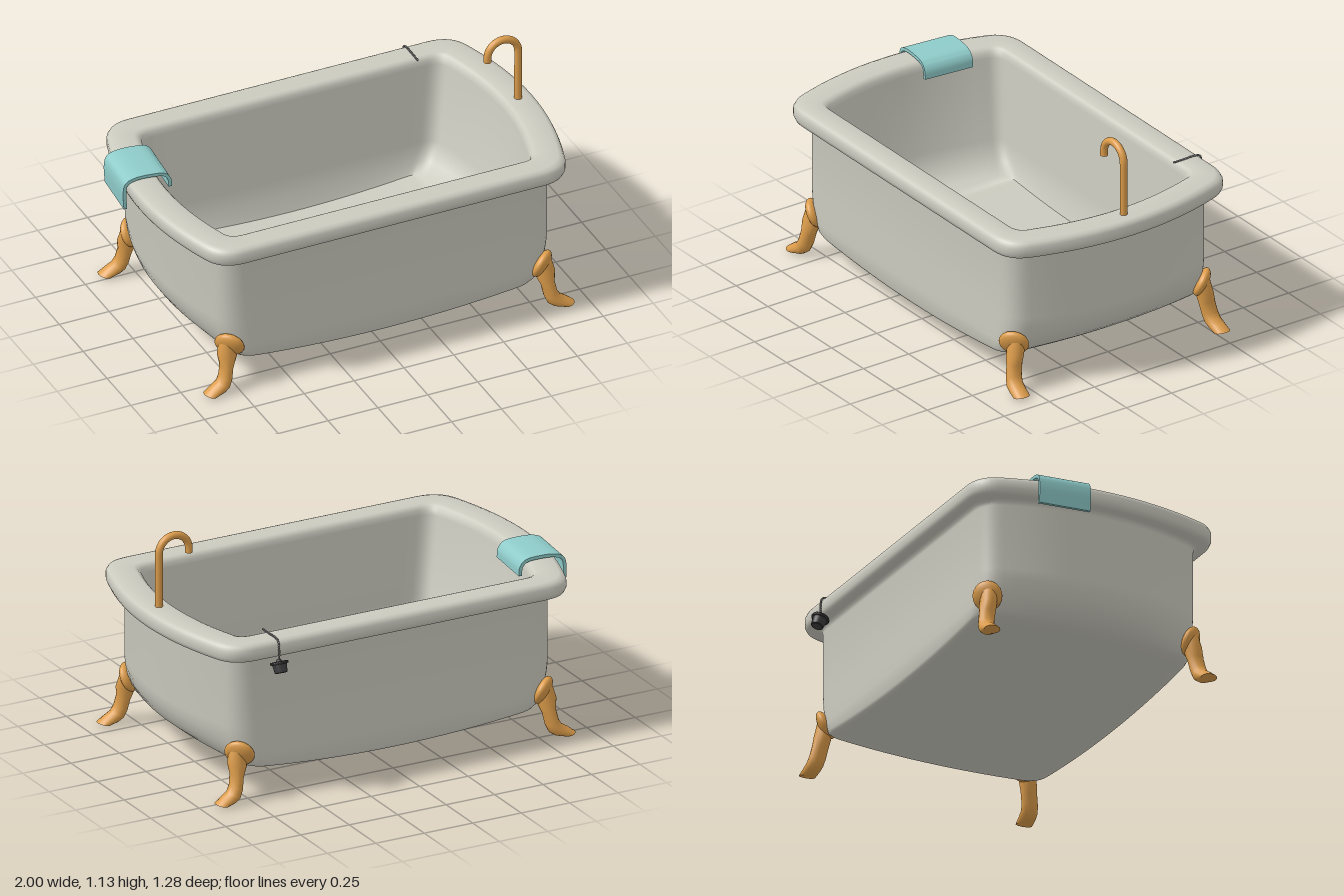
import * as THREE from 'three';
import { toCreasedNormals } from 'three/addons/utils/BufferGeometryUtils.js';

const CX = 0.005, CZ = 0.027; // centre of the tub
const mat = (name, color) => {
  const m = new THREE.MeshStandardMaterial({ color });
  m.name = name;
  return m;
};

// Skin a list of closed rings (each runs from +z towards +x), top to bottom.
function loft(rings, crease, capEnd = false) {
  const n = rings[0].length, pos = [], idx = [];
  rings.forEach(r => r.forEach(p => pos.push(p.x, p.y, p.z)));
  for (let i = 0; i < rings.length - 1; i++) {
    for (let j = 0; j < n; j++) {
      const k = (j + 1) % n;
      const a = i * n + j, b = a + n, c = (i + 1) * n + k, d = i * n + k;
      idx.push(a, b, c, a, c, d);
    }
  }
  if (capEnd) {
    const o = (rings.length - 1) * n;
    for (let j = 1; j < n - 1; j++) idx.push(o, o + j + 1, o + j);
  }
  const g = new THREE.BufferGeometry();
  g.setAttribute('position', new THREE.Float32BufferAttribute(pos, 3));
  g.setIndex(idx);
  return toCreasedNormals(g, crease);
}

// Plan outline: straight long sides, rounded corners, bowed ends.
// a: half width, e: end at the middle, c: end at the corner, r: corner size
function ring(a, e, c, r, y, flat = 1) {
  const bow = z => c + (e - c) * (1 - (z / a) ** 2);
  const q = [];
  for (let i = 0; i < 10; i++) q.push([(c - r) * i / 10, a]);
  for (let i = 0; i < 8; i++) {
    const t = i / 8, u = 1 - t, zc = a - r;
    q.push([u * u * (c - r) + 2 * u * t * (c + 0.01) + t * t * bow(zc),
      u * u * a + 2 * u * t * a + t * t * zc]);
  }
  for (let i = 0; i <= 8; i++) {
    const z = (a - r) * (1 - i / 8);
    q.push([bow(z), z]);
  }
  const rev = [...q].reverse();
  const all = [
    ...q,
    ...rev.slice(1).map(([x, z]) => [x, -z]),
    ...q.slice(1).map(([x, z]) => [-x, -z]),
    ...rev.slice(1, -1).map(([x, z]) => [-x, z]),
  ];
  return all.map(([x, z]) => new THREE.Vector3(
    x + CX, typeof y === 'function' ? y(x) : y, z * flat + CZ));
}

function makeTub(material) {
  const floor = x => 0.17 + 0.05 * (x / 0.75) ** 2;
  const under = x => 0.11 + 0.05 * (x / 0.8) ** 2;
  const rings = [
    // inner basin
    ring(0.44, 0.70, 0.62, 0.06, floor, 0),
    ring(0.44, 0.70, 0.62, 0.06, floor),
    ring(0.465, 0.76, 0.67, 0.06, 0.25),
    ring(0.475, 0.80, 0.71, 0.06, 0.34),
    ring(0.48, 0.835, 0.745, 0.06, 0.74),
    // rolled rim
    ring(0.483, 0.84, 0.75, 0.06, 0.765),
    ring(0.492, 0.852, 0.762, 0.06, 0.78),
    ring(0.505, 0.865, 0.775, 0.06, 0.785),
    ring(0.59, 0.965, 0.84, 0.11, 0.785),
    ring(0.607, 0.983, 0.858, 0.11, 0.778),
    ring(0.615, 0.99, 0.865, 0.11, 0.76),
    ring(0.615, 0.99, 0.865, 0.11, 0.725),
    ring(0.608, 0.983, 0.858, 0.11, 0.706),
    ring(0.595, 0.97, 0.845, 0.11, 0.70),
    ring(0.565, 0.935, 0.812, 0.09, 0.70),
    ring(0.553, 0.923, 0.802, 0.09, 0.692),
    // outer wall
    ring(0.55, 0.92, 0.80, 0.09, 0.675),
    ring(0.55, 0.92, 0.80, 0.09, 0.36),
    ring(0.55, 0.912, 0.795, 0.09, 0.31),
    ring(0.55, 0.89, 0.785, 0.09, 0.255),
    ring(0.55, 0.86, 0.77, 0.09, 0.21),
    ring(0.548, 0.825, 0.755, 0.09, x => under(x) + 0.018),
    ring(0.542, 0.80, 0.74, 0.09, x => under(x) + 0.005),
    ring(0.525, 0.76, 0.71, 0.09, under),
    ring(0.525, 0.76, 0.71, 0.09, under, 0),
  ];
  const tub = new THREE.Mesh(loft(rings, 0.9), material);
  tub.name = 'tub';
  return tub;
}

// Curved leg with a mounting boss; sections are [outer x, y, inner x, y].
function makeLeg(sx, sz, material) {
  const sections = [
    [0.83, 0.25, 0.75, 0.24], [0.845, 0.19, 0.752, 0.17],
    [0.836, 0.14, 0.775, 0.12], [0.845, 0.09, 0.785, 0.065],
    [0.86, 0.064, 0.80, 0.03], [0.89, 0.045, 0.825, 0.013],
    [0.925, 0.018, 0.865, 0.004],
  ];
  const rings = sections.map(([ox, oy, ix, iy]) => {
    const o = new THREE.Vector3(sx * ox, oy, 0), i = new THREE.Vector3(sx * ix, iy, 0);
    const [L, R] = sx > 0 ? [i, o] : [o, i];
    const mid = L.clone().add(R).multiplyScalar(0.5);
    const half = R.clone().sub(L).multiplyScalar(0.5);
    const z0 = sz * (0.557 - 0.045 * mid.y / 0.25);
    return Array.from({ length: 16 }, (_, k) => {
      const t = k / 16 * Math.PI * 2;
      return mid.clone().addScaledVector(half, Math.sin(t))
        .add(new THREE.Vector3(0, 0, z0 + 0.039 * Math.cos(t)));
    });
  });
  const leg = new THREE.Group();
  leg.name = (sz > 0 ? 'front' : 'back') + (sx > 0 ? 'Left' : 'Right') + 'Leg';
  const shaft = new THREE.Mesh(loft(rings, 0.8, true), material);
  shaft.name = 'legShaft';
  const boss = new THREE.Mesh(new THREE.SphereGeometry(0.07, 24, 14), material);
  boss.name = 'legBoss';
  boss.scale.z = 0.45;
  boss.position.set(sx * 0.783, 0.23, sz * 0.52);
  boss.quaternion.setFromUnitVectors(new THREE.Vector3(0, 0, 1),
    new THREE.Vector3(sx * 0.6, -0.4, sz * 0.65).normalize());
  leg.add(shaft, boss);
  leg.position.set(CX, 0, CZ);
  return leg;
}

function makeFaucet(material) {
  const r = 0.077, yc = 1.04, pts = [];
  for (const y of [0.77, 0.86, 0.95]) pts.push(new THREE.Vector3(0.917, y, 0.03));
  for (let i = 0; i <= 12; i++) {
    const t = Math.PI * i / 12;
    pts.push(new THREE.Vector3(0.84 + r * Math.cos(t), yc + r * Math.sin(t), 0.03));
  }
  pts.push(new THREE.Vector3(0.763, 1.02, 0.03));
  const faucet = new THREE.Group();
  faucet.name = 'faucet';
  const pipe = new THREE.Mesh(
    new THREE.TubeGeometry(new THREE.CatmullRomCurve3(pts), 60, 0.018, 14), material);
  pipe.name = 'faucetPipe';
  const mouth = new THREE.Mesh(new THREE.CircleGeometry(0.018, 14), material);
  mouth.name = 'faucetMouth';
  mouth.rotation.x = Math.PI / 2;
  mouth.position.set(0.763, 1.02, 0.03);
  faucet.add(pipe, mouth);
  return faucet;
}

// Towel draped over the rim: a thick curved profile pulled along z.
function makeTowel(material) {
  const path = new THREE.CatmullRomCurve3([
    [0.112, 0.725], [0.108, 0.765], [0.085, 0.792], [0.02, 0.802],
    [-0.06, 0.798], [-0.098, 0.78], [-0.108, 0.74], [-0.104, 0.65],
  ].map(([x, y]) => new THREE.Vector3(x, y, 0)));
  const outer = [], inner = [];
  for (let i = 0; i <= 32; i++) {
    const p = path.getPoint(i / 32), t = path.getTangent(i / 32);
    outer.push(new THREE.Vector2(p.x + t.y * 0.008, p.y - t.x * 0.008));
    inner.push(new THREE.Vector2(p.x - t.y * 0.008, p.y + t.x * 0.008));
  }
  const g = new THREE.ExtrudeGeometry(new THREE.Shape([...outer, ...inner.reverse()]),
    { depth: 0.25, bevelEnabled: false });
  g.translate(0, 0, -0.125);
  const towel = new THREE.Mesh(toCreasedNormals(g, 0.7), material);
  towel.name = 'towel';
  towel.position.set(-0.882, 0, -0.2);
  towel.rotation.y = -0.09;
  return towel;
}

function makePlug(rubber, metal) {
  const group = new THREE.Group();
  group.name = 'plugAndChain';
  // bead chain over the back rim
  const path = new THREE.CatmullRomCurve3([
    [0.789, -0.445], [0.789, -0.50], [0.789, -0.565], [0.78, -0.588],
    [0.75, -0.596], [0.69, -0.596],
  ].map(([y, z]) => new THREE.Vector3(0.64, y, z)));
  const bead = new THREE.SphereGeometry(0.005, 8, 6);
  for (let i = 0; i <= 30; i++) {
    const m = new THREE.Mesh(bead, metal);
    m.name = 'chainBead';
    m.position.copy(path.getPointAt(i / 30));
    group.add(m);
  }
  // tapered stopper with a flange
  const profile = [[0, 0.018], [0.01, 0.016], [0.014, 0.006], [0.041, 0.005], [0.043, 0],
    [0.041, -0.007], [0.034, -0.008], [0.029, -0.045], [0.025, -0.048], [0, -0.048]]
    .reverse().map(([x, y]) => new THREE.Vector2(x, y));
  const plug = new THREE.Mesh(toCreasedNormals(new THREE.LatheGeometry(profile, 24), 0.6), rubber);
  plug.name = 'plug';
  plug.position.set(0.64, 0.68, -0.597);
  plug.rotation.x = 0.4;
  group.add(plug);
  return group;
}

export function createModel() {
  const enamel = mat('enamel', 0xcccbc0);
  const brass = mat('brass', 0xdc9c4a);
  const cloth = mat('cloth', 0x8ecbc9);
  const rubber = mat('rubber', 0x3c3c3e);
  const metal = mat('chainMetal', 0x808080);
  const model = new THREE.Group();
  model.name = 'bathtub';
  model.add(makeTub(enamel), makeFaucet(brass), makeTowel(cloth), makePlug(rubber, metal));
  for (const sx of [1, -1]) for (const sz of [1, -1]) model.add(makeLeg(sx, sz, brass));
  return model;
}
